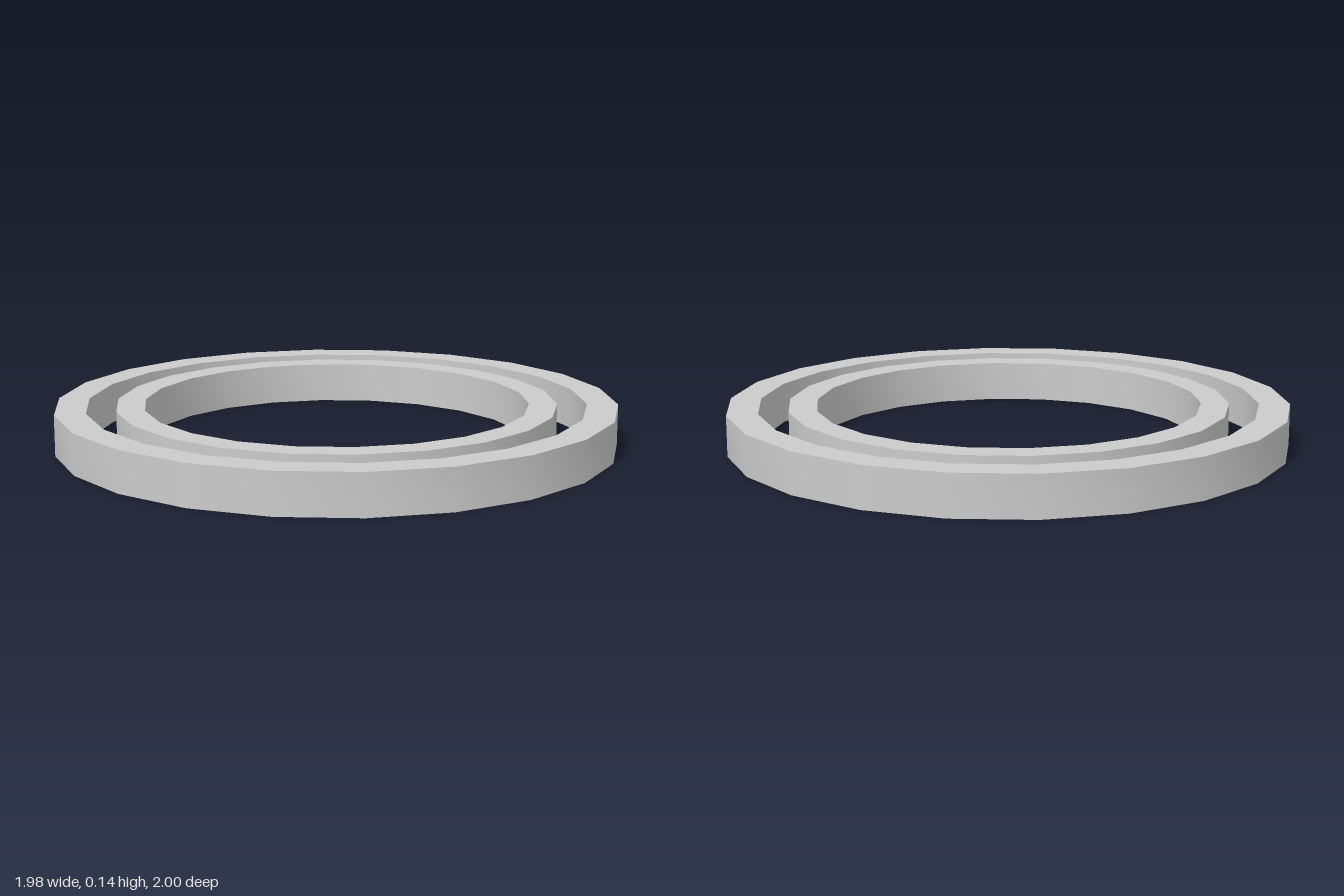
import * as THREE from 'three';
import { toCreasedNormals } from 'three/addons/utils/BufferGeometryUtils.js';

const HEIGHT = 0.145;
const SIDES = 22;

// Flat band with a rectangular section: smooth walls, sharp rims
function ring(name, inner, outer, material) {
  const profile = [
    [inner, 0], [outer, 0], [outer, HEIGHT], [inner, HEIGHT], [inner, 0],
  ].map(([r, y]) => new THREE.Vector2(r, y));
  const geometry = toCreasedNormals(new THREE.LatheGeometry(profile, SIDES), Math.PI / 6);
  const mesh = new THREE.Mesh(geometry, material);
  mesh.name = name;
  return mesh;
}

export function createModel() {
  const group = new THREE.Group();
  group.name = 'concentricRings';
  const material = new THREE.MeshStandardMaterial({ color: 0xcccccc });
  group.add(
    ring('outerRing', 0.89, 1, material),
    ring('innerRing', 0.685, 0.785, material),
  );
  return group;
}
